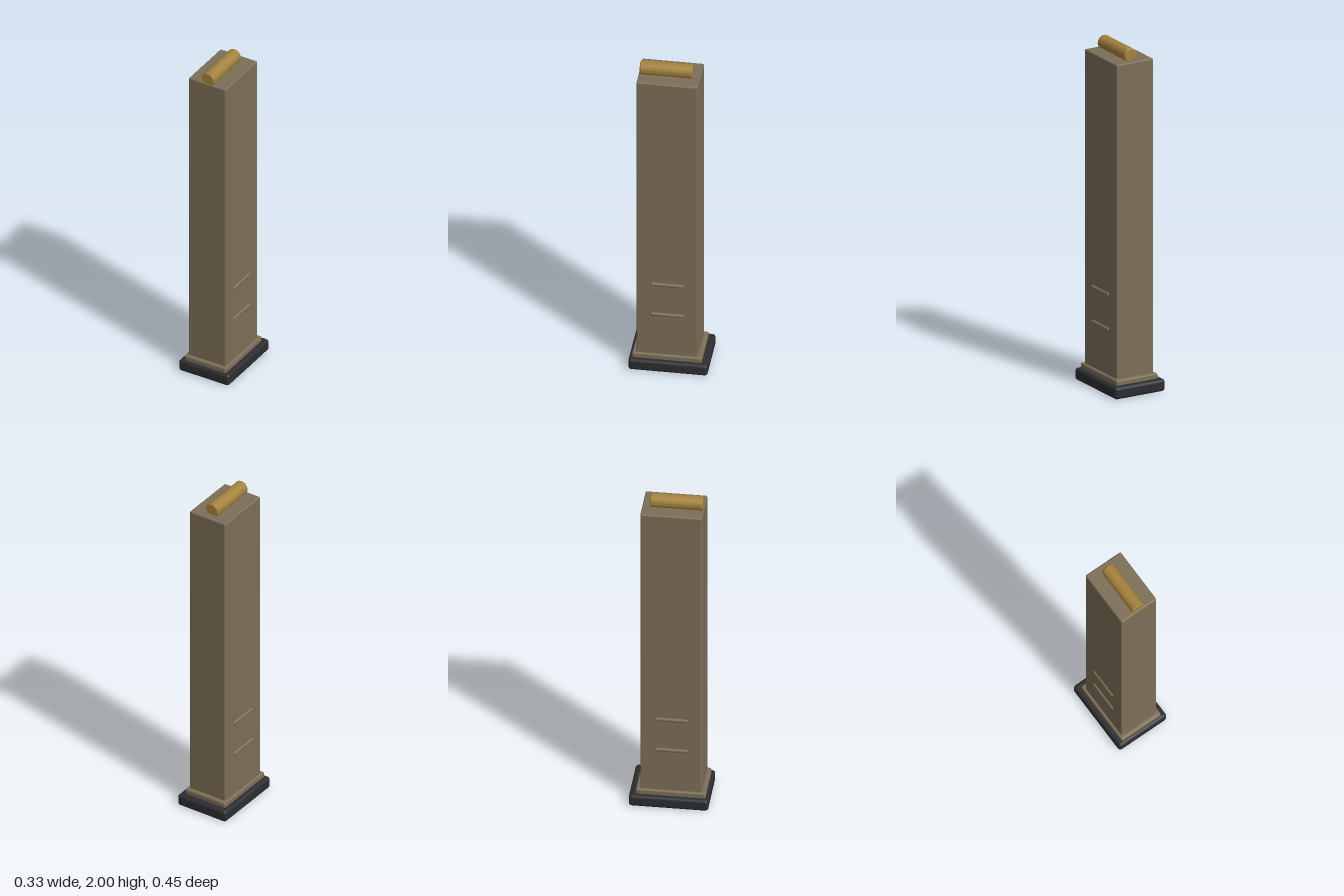
import * as THREE from 'three';
import { RoundedBoxGeometry } from 'three/addons/geometries/RoundedBoxGeometry.js';
import { toCreasedNormals } from 'three/addons/utils/BufferGeometryUtils.js';

const tan = new THREE.MeshStandardMaterial({ color: 0x7d6f57 });
const black = new THREE.MeshStandardMaterial({ color: 0x2b2d30 });
const brass = new THREE.MeshStandardMaterial({ color: 0xa3823c });

export function createModel() {
  const group = new THREE.Group();

  const add = (name, geometry, material, x, y, z) => {
    const mesh = new THREE.Mesh(geometry, material);
    mesh.name = name;
    mesh.position.set(x, y, z);
    group.add(mesh);
    return mesh;
  };

  // Rounded block given by its lower and upper height and its depth range
  const block = (name, width, y0, y1, z0, z1, radius, material) =>
    add(name, new RoundedBoxGeometry(width, y1 - y0, z1 - z0, 3, radius), material,
      0, (y0 + y1) / 2, (z0 + z1) / 2);

  // Floor plate, collar and tall hollow-looking casing
  block('basePlate', 0.326, 0, 0.07, -0.223, 0.223, 0.018, black);
  block('collar', 0.268, 0.05, 0.1, -0.187, 0.205, 0.01, tan);
  block('body', 0.24, 0.08, 1.935, -0.163, 0.183, 0.008, tan);

  // Two raised grip ribs on each side
  for (const side of [-1, 1]) {
    for (const y of [0.367, 0.57]) {
      const rib = add('gripRib', new THREE.CapsuleGeometry(0.012, 0.164, 6, 16), tan,
        side * 0.118, y, 0.011);
      rib.rotation.x = Math.PI / 2;
    }
  }

  // Cylinder lying on top, with slightly bevelled ends
  const r = 0.041, half = 0.148, bevel = 0.005;
  const profile = [
    [0, -half], [r - bevel, -half], [r, -half + bevel],
    [r, half - bevel], [r - bevel, half], [0, half],
  ].map(([x, y]) => new THREE.Vector2(x, y));
  const round = add('topCylinder',
    toCreasedNormals(new THREE.LatheGeometry(profile, 40), 0.5), brass, 0, 1.959, 0.029);
  round.rotation.x = Math.PI / 2;

  return group;
}
